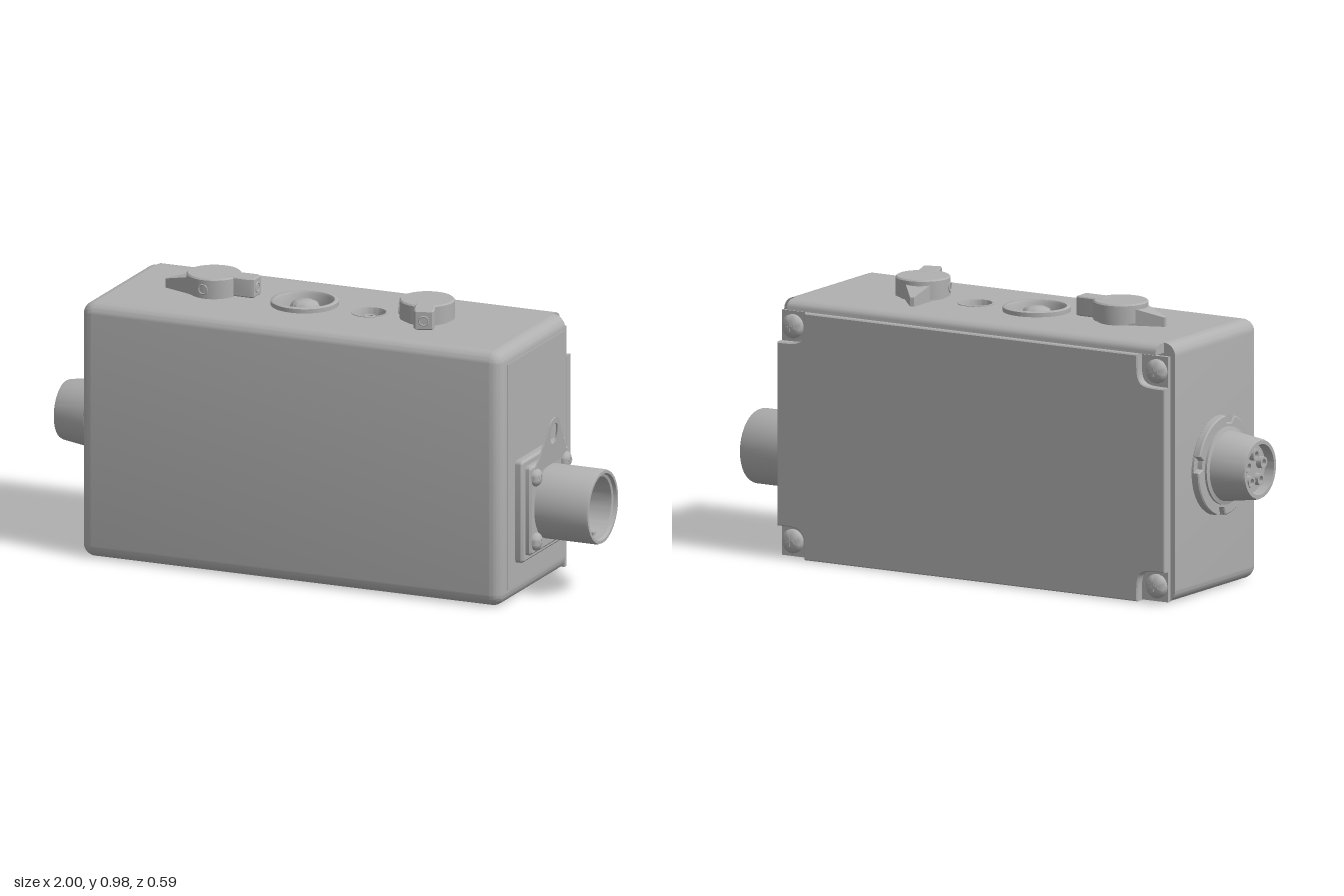
import * as THREE from 'three';
import { toCreasedNormals } from 'three/addons/utils/BufferGeometryUtils.js';
import { RoundedBoxGeometry } from 'three/addons/geometries/RoundedBoxGeometry.js';

const casing = new THREE.MeshStandardMaterial({ color: 0xb0b0b0 });
casing.name = 'grey casing';

function add(parent, name, geo, x = 0, y = 0, z = 0, crease = 0.6) {
  const mesh = new THREE.Mesh(toCreasedNormals(geo, crease), casing);
  mesh.name = name;
  mesh.position.set(x, y, z);
  parent.add(mesh);
  return mesh;
}

function group(parent, name, x = 0, y = 0, z = 0) {
  const g = new THREE.Group();
  g.name = name;
  g.position.set(x, y, z);
  parent.add(g);
  return g;
}

// Turned part from [radius, height] pairs
const turned = (pts, n = 48) => new THREE.LatheGeometry(pts.map(p => new THREE.Vector2(...p)), n);
const alongX = (geo, s = 1) => geo.rotateZ(-s * Math.PI / 2);
const polygon = pts => new THREE.Shape(pts.map(p => new THREE.Vector2(...p)));
const extrude = (shape, depth, bevel = 0) => new THREE.ExtrudeGeometry(shape, {
  depth, curveSegments: 16, bevelEnabled: bevel > 0, bevelSize: bevel, bevelThickness: bevel,
  bevelOffset: -bevel, bevelSegments: 1,
});
const circleHole = (x, y, r) => new THREE.Path().absarc(x, y, r, 0, Math.PI * 2, true);

// Domed screw head with a cross recess bar, axis +y
function screw(parent, name, r, h, x, y, z) {
  const s = group(parent, name, x, y, z);
  add(s, 'screwHead', turned([[r, 0], [r, h * 0.3], [r * 0.85, h * 0.65], [r * 0.5, h * 0.92], [0, h]], 24), 0, 0, 0, 0.9);
  for (const a of [0, Math.PI / 2]) {
    add(s, 'screwCross', new THREE.BoxGeometry(r * 0.8, 0.004, r * 0.14), 0, h * 0.95, 0).rotation.y = a;
  }
  return s;
}

// Rounded housing, flat at the back, with openings in its top face
function buildBody(root) {
  const r = 0.045, back = -0.24, front = 0.3, top = 0.905, cx = -0.04, w = 1.58;
  const geo = new RoundedBoxGeometry(w, top, front - back + r, 6, r);
  geo.translate(cx, top / 2, (front + back - r) / 2);
  const p = geo.toNonIndexed().attributes.position, keep = [];
  for (let i = 0; i < p.count; i += 3) {
    if ([0, 1, 2].every(k => p.getY(i + k) > top - 1e-5)) continue;
    for (let k = 0; k < 3; k++) keep.push(p.getX(i + k), p.getY(i + k), Math.max(back, p.getZ(i + k)));
  }
  const shell = new THREE.BufferGeometry();
  shell.setAttribute('position', new THREE.Float32BufferAttribute(keep, 3));
  add(root, 'housing', shell);
  const x0 = cx - w / 2 + r, x1 = cx + w / 2 - r, z1 = front - r;
  const plan = polygon([[x0, -z1], [x1, -z1], [x1, -back], [x0, -back]]);
  plan.holes.push(circleHole(-0.12, 0, 0.1), circleHole(0.125, 0, 0.06));
  add(root, 'housingTop', new THREE.ShapeGeometry(plan, 24).rotateX(-Math.PI / 2), 0, top, 0);

  // Lip above the rear cover
  const lip = polygon([[0.2, 0.87], [0.295, 0.87], [0.295, 0.88], [0.287, 0.893], [0.273, 0.902], [0.25, 0.905], [0.2, 0.905]]);
  add(root, 'rearLip', extrude(lip, x1 - x0).rotateY(Math.PI / 2), x0, 0, 0);
  add(root, 'sidePanel', new THREE.BoxGeometry(0.006, 0.8, 0.48), 0.75, 0.455, 0.005);
}

// Rear cover with notched corners and four screws
function buildCover(root) {
  const cover = group(root, 'rearCover', -0.0375, 0.434, 0);
  const X = 0.783, Y = 0.431, n = 0.11;
  add(cover, 'gasket', new THREE.BoxGeometry(2 * X - 0.03, 2 * Y - 0.03, 0.03), 0, 0, -0.245);
  add(cover, 'coverBase', new THREE.BoxGeometry(2 * X - 0.006, 2 * Y - 0.006, 0.014), 0, 0, -0.258);
  const shape = new THREE.Shape();
  [[1, -1], [1, 1], [-1, 1], [-1, -1]].forEach(([sx, sy], i) => {
    let a = [sx * (X - n), sy * Y], b = [sx * X, sy * (Y - n)];
    if (sx * sy > 0) [a, b] = [b, a];
    const c = [sx * (X - n), sy * (Y - n)];
    if (i === 0) shape.moveTo(...a); else shape.lineTo(...a);
    shape.bezierCurveTo(...c, ...c, ...b);
    screw(cover, 'coverScrew', 0.042, 0.028, sx * (X - 0.048), sy * (Y - 0.056), -0.264).rotation.x = -Math.PI / 2;
  });
  shape.closePath();
  add(cover, 'coverPlate', extrude(shape, 0.027, 0.004), 0, 0, -0.291);
}

// Square-flanged socket with hanging tab, on the model's left
function buildSocket(root) {
  const s = group(root, 'squareSocket', 0, 0.315, 0);
  const plate = (name, half, x, depth, r) => {
    const sh = new THREE.Shape(), h = half - r;
    [[1, 1, 0], [-1, 1, 1], [-1, -1, 2], [1, -1, 3]].forEach(([sx, sy, q]) =>
      sh.absarc(sx * h, sy * h, r, q * Math.PI / 2, (q + 1) * Math.PI / 2, false));
    add(s, name, extrude(sh, depth - 0.008, 0.008).rotateY(Math.PI / 2), x, 0, 0);
  };
  plate('flangeBase', 0.182, 0.75, 0.03, 0.015);
  plate('flangePlate', 0.158, 0.775, 0.026, 0.012);
  add(s, 'socketBarrel', alongX(turned([[0.13, 0.77], [0.13, 0.992], [0.127, 1], [0.117, 1], [0.113, 0.988],
    [0.104, 0.985], [0.1, 0.86], [0, 0.86]], 64)));
  add(s, 'socketKey', new THREE.BoxGeometry(0.1, 0.012, 0.02), 0.92, -0.098, 0);
  for (const y of [-0.114, 0.114]) for (const z of [-0.121, 0.121]) {
    screw(s, 'flangeScrew', 0.031, 0.024, 0.8, y, z).rotation.z = -Math.PI / 2;
  }
  const tab = new THREE.Shape();
  tab.moveTo(-0.14, 0.13);
  tab.lineTo(0.14, 0.13);
  tab.quadraticCurveTo(0.115, 0.165, 0.095, 0.19);
  tab.lineTo(0.042, 0.27);
  tab.absarc(0, 0.248, 0.05, 0.45, Math.PI - 0.45, false);
  tab.lineTo(-0.095, 0.19);
  tab.quadraticCurveTo(-0.115, 0.165, -0.14, 0.13);
  const slot = new THREE.Path();
  slot.absarc(0, 0.252, 0.026, 0, Math.PI, false);
  slot.absarc(0, 0.23, 0.026, Math.PI, Math.PI * 2, false);
  slot.closePath();
  tab.holes.push(slot);
  const geo = extrude(tab, 0.006).rotateY(Math.PI / 2), p = geo.attributes.position;
  for (let i = 0; i < p.count; i++) p.setX(i, p.getX(i) + Math.max(0, p.getY(i) - 0.13) * 0.1);
  add(s, 'hangingTab', geo, 0.8, 0, 0);
}

// Round multi-pin connector on the model's right
function buildRoundConnector(root) {
  const c = group(root, 'roundConnector', 0, 0.438, 0.037);
  const ring = new THREE.Shape(), steps = 96;
  for (let i = 0; i < steps; i++) {
    const a = i / steps * Math.PI * 2, r = (i + 4) % 24 < 4 ? 0.148 : 0.174;
    ring[i ? 'lineTo' : 'moveTo'](Math.cos(a) * r, Math.sin(a) * r);
  }
  ring.closePath();
  add(c, 'slottedNut', extrude(ring, 0.022, 0.004).rotateY(-Math.PI / 2), -0.834, 0, 0);
  add(c, 'nutSeat', alongX(turned([[0.172, 0.82], [0.172, 0.838], [0, 0.838]]), -1));
  add(c, 'taperedBarrel', alongX(turned([[0.135, 0.85], [0.135, 0.868], [0.122, 0.872], [0.105, 0.99], [0.101, 1],
    [0.088, 1], [0.085, 0.965], [0, 0.965]], 64), -1));
  for (let i = 0; i < 5; i++) {
    const a = i / 5 * Math.PI * 2 + Math.PI / 2;
    add(c, 'pinSocket', alongX(turned([[0.021, 0.96], [0.021, 0.985], [0.012, 0.985], [0.012, 0.967], [0, 0.967]], 20), -1),
      0, Math.sin(a) * 0.05, Math.cos(a) * 0.05);
  }
}

// Pointer knob: pointer along -x, clamp arm along +x
function buildKnob(root, x, turn) {
  const k = group(root, 'pointerKnob', x, 0.905, 0);
  k.rotation.y = turn;
  add(k, 'knobBody', turned([[0.08, 0], [0.08, 0.008], [0.095, 0.008], [0.095, 0.07], [0.09, 0.075], [0, 0.075]]));
  const geo = extrude(polygon([[-0.18, -0.007], [-0.05, -0.055], [-0.05, 0.055], [-0.18, 0.007]]), 0.066).rotateX(-Math.PI / 2);
  const p = geo.attributes.position;
  for (let i = 0; i < p.count; i++) if (p.getY(i) > 0.03 && p.getX(i) < -0.1) p.setY(i, 0.032);
  add(k, 'knobPointer', geo);
  const arm = polygon([[0.05, -0.035], [0.15, -0.035], [0.163, -0.028], [0.163, 0.028], [0.15, 0.035], [0.05, 0.035]]);
  add(k, 'clampArm', extrude(arm, 0.06, 0.004).rotateX(-Math.PI / 2), 0, 0.012, 0);
  const hole = () => new THREE.TorusGeometry(0.016, 0.003, 8, 24);
  add(k, 'armScrewRim', hole().rotateY(Math.PI / 2), 0.163, 0.04, 0);
  add(k, 'sideScrewRim', hole(), 0, 0.037, 0.095);
}

// Recessed lamp and small recessed socket on the top
function buildTopFittings(root) {
  const lamp = group(root, 'indicatorLamp', -0.12, 0.905, 0);
  add(lamp, 'lampBezel', turned([[0.117, 0], [0.117, 0.015], [0.112, 0.018], [0.103, 0.018], [0.098, 0.01], [0.095, -0.05], [0, -0.05]]));
  add(lamp, 'lampNut', new THREE.CylinderGeometry(0.08, 0.08, 0.03, 6), 0, -0.035, 0, 0.3);
  add(lamp, 'lampDome', turned([[0.052, -0.03], [0.052, -0.008], [0.045, 0.006], [0.028, 0.014], [0, 0.017]], 32), 0, 0, 0, 1);
  const jack = group(root, 'topJack', 0.125, 0.905, 0);
  add(jack, 'jackRim', turned([[0.065, 0], [0.065, 0.002], [0.056, 0.002], [0.05, -0.02], [0.048, -0.05], [0, -0.05]]));
  add(jack, 'jackNut', new THREE.CylinderGeometry(0.036, 0.036, 0.02, 6), 0, -0.04, 0, 0.3);
  add(jack, 'jackPin', turned([[0.02, -0.03], [0.02, -0.012], [0.01, -0.012], [0.01, -0.028], [0, -0.028]], 24));
}

export function createModel() {
  const root = new THREE.Group();
  root.name = 'controlBox';
  buildBody(root);
  buildCover(root);
  buildSocket(root);
  buildRoundConnector(root);
  buildKnob(root, -0.46, 0);
  buildKnob(root, 0.34, -1.22);
  buildTopFittings(root);
  return root;
}
